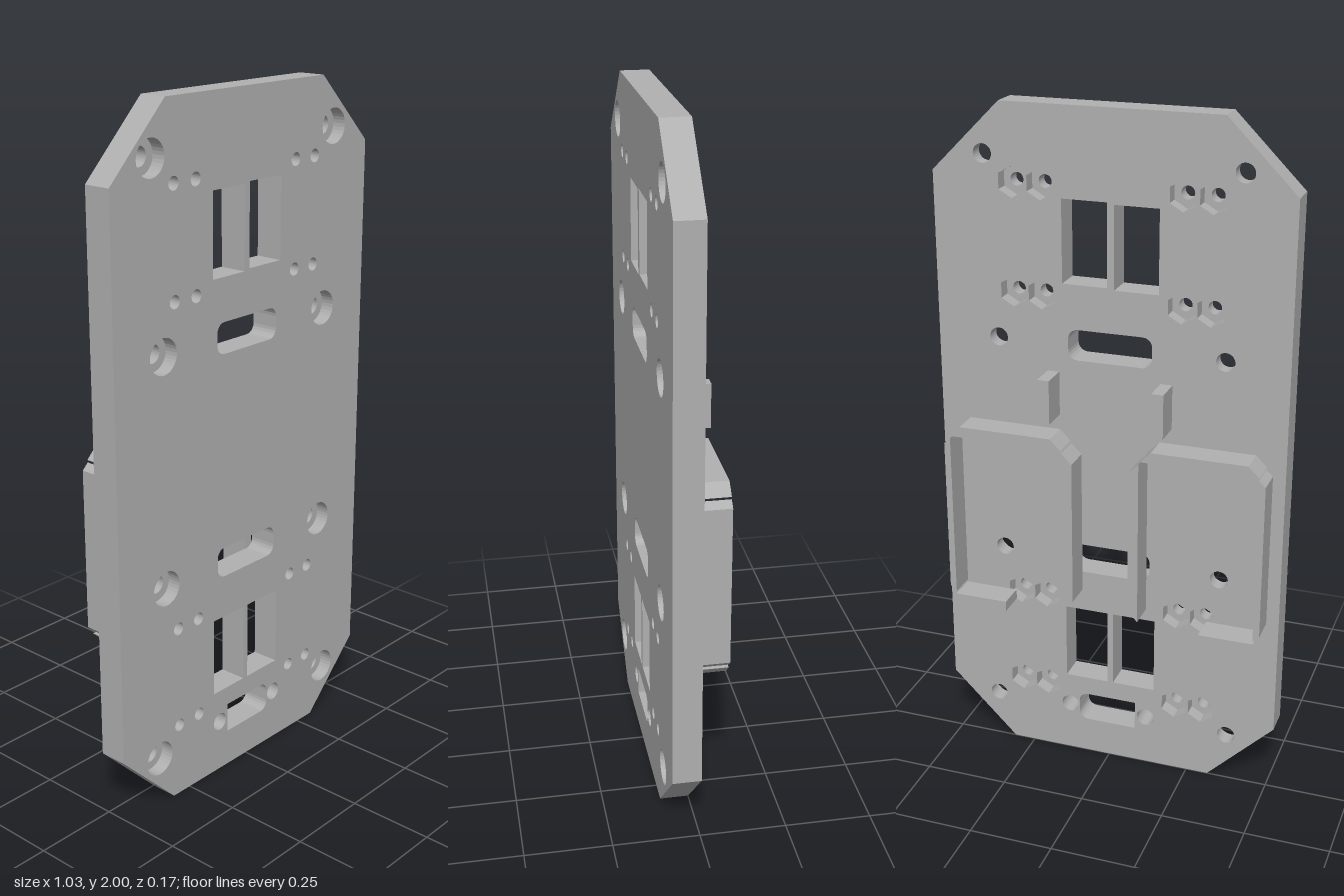
import * as THREE from 'three';

const T = 0.083;      // plate thickness, also the height of the rear walls
const STEP = 0.042;   // depth of the rear nut pockets

// closed outline from points
const poly = (pts, Kind = THREE.Shape) => new Kind(pts.map(([x, y]) => new THREE.Vector2(x, y)));

const rect = (x0, y0, x1, y1) => poly([[x0, y0], [x1, y0], [x1, y1], [x0, y1]], THREE.Path);

// regular polygon hole; many sides make a circle
function ngon(x, y, r, n) {
  const pts = [];
  for (let i = 0; i < n; i++) {
    const a = Math.PI / 2 + (i / n) * Math.PI * 2;
    pts.push([x + r * Math.cos(a), y + r * Math.sin(a)]);
  }
  return poly(pts, THREE.Path);
}

// slot with separate corner radii on its left and right ends
function slot(x0, y0, x1, y1, rl, rr) {
  const pts = [];
  const corners = [[x1, y1, rr, -1, -1], [x0, y1, rl, 1, -1], [x0, y0, rl, 1, 1], [x1, y0, rr, -1, 1]];
  corners.forEach(([x, y, r, sx, sy], k) => {
    const n = r > 0 ? 5 : 0;
    for (let i = 0; i <= n; i++) {
      const a = (k + (n ? i / n : 0)) * Math.PI / 2;
      pts.push([x + sx * r + r * Math.cos(a), y + sy * r + r * Math.sin(a)]);
    }
  });
  return poly(pts, THREE.Path);
}

export function createModel() {
  const model = new THREE.Group();
  model.name = 'mountingPlate';
  const grey = new THREE.MeshStandardMaterial({ color: 0xb0b0b0 });
  grey.name = 'grey';

  function extrude(name, shape, z0, z1) {
    const geo = new THREE.ExtrudeGeometry(shape, { depth: z1 - z0, bevelEnabled: false });
    geo.translate(0, 0, z0);
    const mesh = new THREE.Mesh(geo, grey);
    mesh.name = name;
    model.add(mesh);
  }

  // screw holes: counterbored at the front, plain at the back
  const screws = [];
  for (const y of [0.15, 1.855]) screws.push([-0.372, y], [0.367, y]);
  for (const y of [0.67, 1.335]) screws.push([-0.335, y], [0.332, y]);

  // small bolt holes with hexagonal nut pockets at the back
  const bolts = [];
  for (const y of [0.223, 0.53, 1.473, 1.782])
    for (const x of [-0.29, -0.207, 0.2, 0.283]) bolts.push([x, y]);

  function plateLayer(name, z0, z1, screwRadius, boltRadius, boltSides) {
    const shape = poly([[-0.317, 0], [0.315, 0], [0.517, 0.2], [0.517, 1.8],
      [0.315, 2], [-0.317, 2], [-0.517, 1.8], [-0.517, 0.2]]);
    for (const [x, y] of screws) shape.holes.push(ngon(x, y, screwRadius, 32));
    for (const [x, y] of bolts) shape.holes.push(ngon(x, y, boltRadius, boltSides));
    shape.holes.push(
      // paired windows
      rect(-0.142, 1.505, -0.014, 1.743), rect(0.006, 1.51, 0.138, 1.748),
      rect(-0.142, 0.26, -0.012, 0.497), rect(0.006, 0.26, 0.138, 0.497),
      // cable slots
      slot(-0.125, 1.29, 0.122, 1.38, 0.028, 0.028),
      slot(-0.125, 0.625, 0.122, 0.715, 0.028, 0.028),
      // connector opening with its two fixing holes
      slot(-0.083, 0.112, 0.097, 0.202, 0, 0.028),
      ngon(-0.117, 0.158, 0.027, 24), ngon(0.127, 0.158, 0.027, 24));
    extrude(name, shape, z0, z1);
  }
  plateLayer('plateBack', 0, STEP, 0.027, 0.044, 6);
  plateLayer('plateFront', STEP, T, 0.051, 0.019, 24);

  // rear holders: bevel-ended walls, mirrored left and right
  const walls = {
    holderTopWall: [[0.118, 1.043], [0.462, 1.043], [0.43, 1.075], [0.15, 1.075]],
    holderOuterWall: [[0.48, 0.552], [0.48, 1.018], [0.461, 1.036], [0.461, 0.534]],
    holderInnerWall: [[0.085, 0.565], [0.085, 1.005], [0.115, 1.036], [0.115, 0.534]],
    holderBottomLip: [[0.3, 0.495], [0.43, 0.495], [0.462, 0.526], [0.3, 0.526]],
    guideBlock: [[0.15, 1.12], [0.185, 1.12], [0.185, 1.25], [0.15, 1.25]],
  };
  for (const [side, s] of [['left', 1], ['right', -1]])
    for (const [name, pts] of Object.entries(walls))
      extrude(side + name[0].toUpperCase() + name.slice(1), poly(pts.map(([x, y]) => [s * x, y])), -T, 0.001);

  return model;
}
